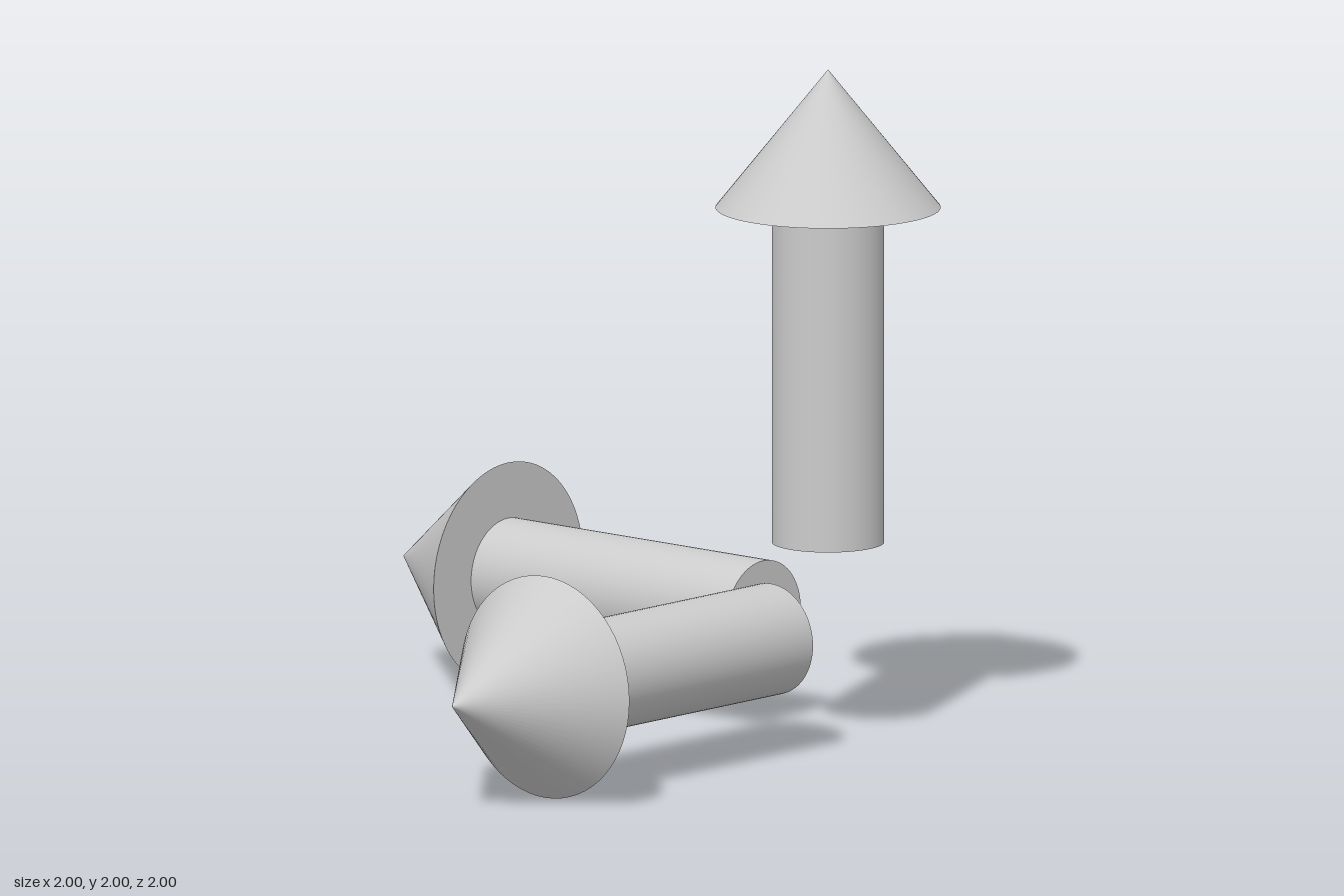
import * as THREE from 'three';

const SHAFT_RADIUS = 0.165, HEAD_RADIUS = 0.331;
const START = 0.253, NECK = 1.253, TIP = 1.665; // distances from the shared corner
const SIDES = 64;

const material = new THREE.MeshStandardMaterial({ color: 0xcccccc });

// One arrow pointing along +y, starting a little away from the corner
function createArrow(name) {
  const arrow = new THREE.Group();
  arrow.name = name;

  const shaft = new THREE.Mesh(
    new THREE.CylinderGeometry(SHAFT_RADIUS, SHAFT_RADIUS, NECK - START, SIDES), material);
  shaft.name = 'shaft';
  shaft.position.y = (START + NECK) / 2;

  const head = new THREE.Mesh(
    new THREE.ConeGeometry(HEAD_RADIUS, TIP - NECK, SIDES), material);
  head.name = 'arrowHead';
  head.position.y = (NECK + TIP) / 2;

  arrow.add(shaft, head);
  return arrow;
}

export function createModel() {
  const model = new THREE.Group();
  model.name = 'axisArrows';

  // Three perpendicular arrows leaving one corner
  const up = createArrow('upArrow');
  const right = createArrow('rightArrow');
  right.rotation.z = Math.PI / 2;
  const front = createArrow('frontArrow');
  front.rotation.x = Math.PI / 2;

  for (const arrow of [up, right, front]) {
    arrow.position.set(0.665, 0.335, -0.665);
    model.add(arrow);
  }
  return model;
}
